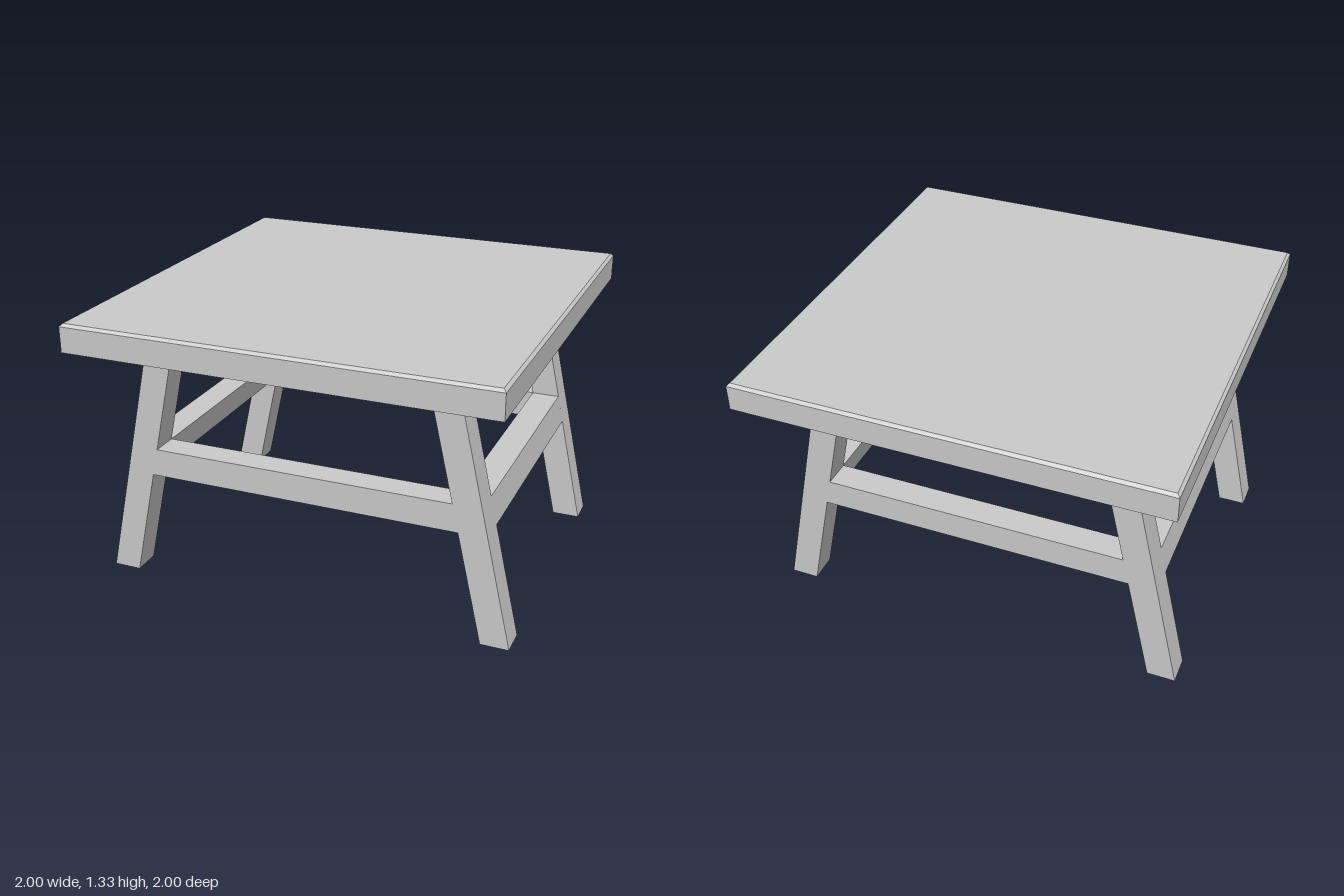
import * as THREE from 'three';

const T = 0.1333;                                // timber thickness
const LEG_TOP = 1.2, RAIL_LOW = 0.5333, RAIL_HIGH = 0.6667;
const outer = (y) => 1 - 0.2222 * y;             // splayed outer face of a leg
const inner = (y) => outer(y) - T;

export function createModel() {
  const model = new THREE.Group();
  const material = new THREE.MeshStandardMaterial({ color: 0xcccccc, flatShading: true });

  const add = (name, geometry, z = 0) => {
    const mesh = new THREE.Mesh(geometry, material);
    mesh.name = name;
    mesh.position.z = z;
    model.add(mesh);
  };

  // Extrude an outline of [x, y] points along z, centred on z = 0
  const prism = (points, depth) =>
    new THREE.ExtrudeGeometry(
      new THREE.Shape(points.map(([x, y]) => new THREE.Vector2(x, y))),
      { depth, bevelEnabled: false },
    ).translate(0, 0, -depth / 2);

  // Table top: a slab with a narrow chamfer around the upper edge
  const slab = new THREE.BoxGeometry(2, 2, 2, 1, 2, 1);
  const p = slab.attributes.position;
  for (let i = 0; i < p.count; i++) {
    const level = Math.round(p.getY(i)) + 1;
    const s = level === 2 ? 0.987 : 1;
    p.setXYZ(i, p.getX(i) * s, [LEG_TOP, 1.32, 1.3333][level], p.getZ(i) * s);
  }
  slab.computeVertexNormals();
  add('tableTop', slab);

  // Front and back frames: two splayed legs joined by a flush rail
  const half = [
    [inner(RAIL_LOW), RAIL_LOW], [inner(0), 0], [outer(0), 0],
    [outer(LEG_TOP), LEG_TOP], [inner(LEG_TOP), LEG_TOP], [inner(RAIL_HIGH), RAIL_HIGH],
  ];
  const frame = [...half, ...half.map(([x, y]) => [-x, y]).reverse()];
  for (const side of [1, -1]) {
    add(side > 0 ? 'frontLegFrame' : 'backLegFrame', prism(frame, T), side * 0.6667);
  }

  // Side rails: slanted to lie flush with the legs
  for (const side of [1, -1]) {
    const outline = [
      [inner(RAIL_LOW), RAIL_LOW], [outer(RAIL_LOW), RAIL_LOW],
      [outer(RAIL_HIGH), RAIL_HIGH], [inner(RAIL_HIGH), RAIL_HIGH],
    ].map(([x, y]) => [side * x, y]);
    add(side > 0 ? 'leftSideRail' : 'rightSideRail', prism(outline, 1.2));
  }

  return model;
}
